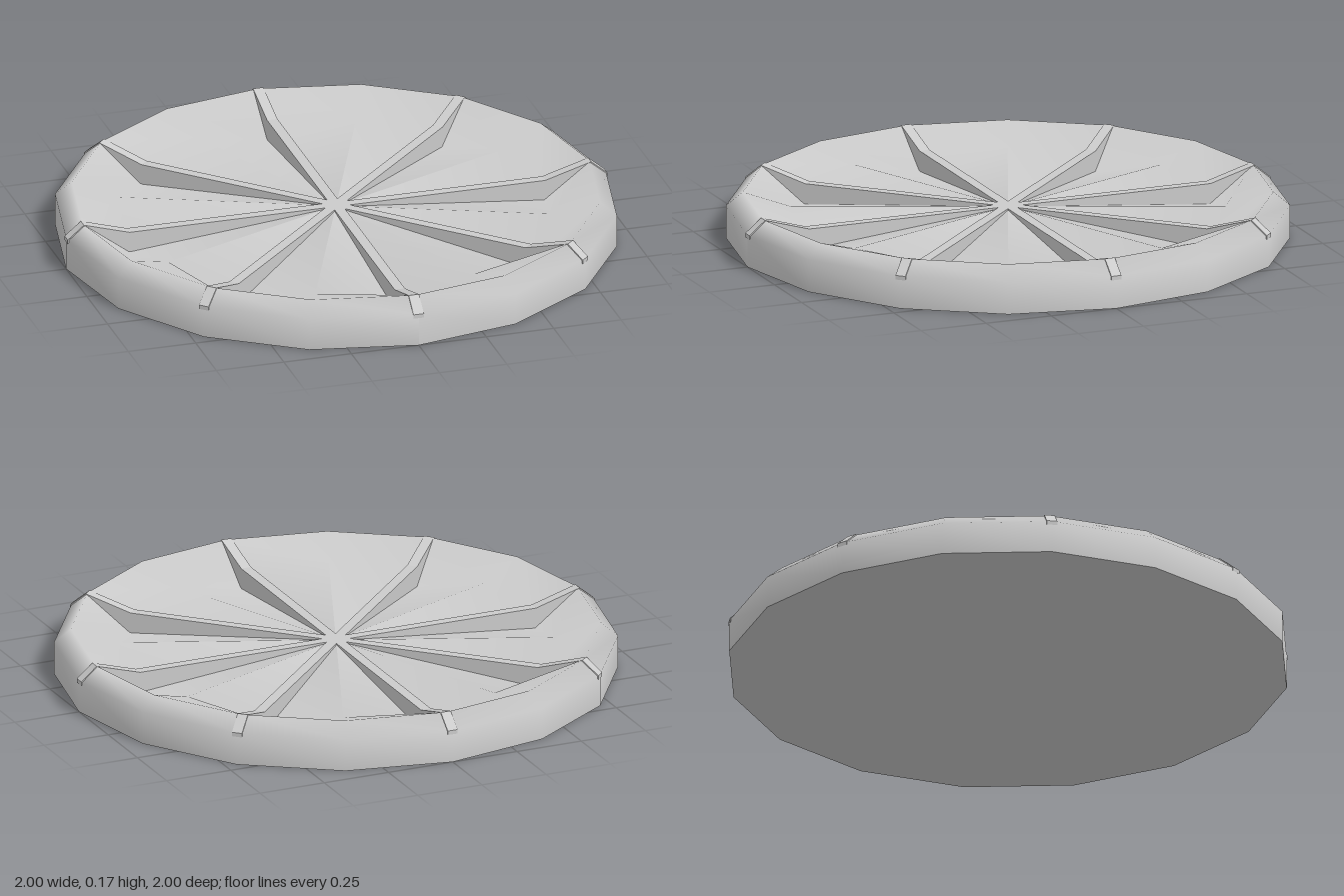
import * as THREE from 'three';

const SIDES = 16;
const RIBS = 8;
const RIB_WIDTH = 0.038;
const RIDGE = 0.115; // height of the trough ring midway between two ribs

const toPoints = (list) => list.map(([r, y]) => new THREE.Vector2(r, y));

export function createModel() {
  const model = new THREE.Group();
  model.name = 'ribbedDish';
  const material = new THREE.MeshStandardMaterial({ color: 0xcccccc });

  // Dish: flat base, upright wall, sloped crest, trough ring and floor rising to the hub.
  // The doubled point keeps the base edge sharp.
  const profile = toPoints([
    [0, 0], [1, 0], [1, 0], [1, 0.118], [0.94, 0.168], [0.77, 0.04], [0, 0.115],
  ]);
  const dishGeometry = new THREE.LatheGeometry(profile, SIDES);

  // Each sector bulges: lift its trough vertex halfway between the ribs
  const position = dishGeometry.attributes.position;
  for (let side = 1; side < SIDES; side += 2) {
    position.setY(side * profile.length + 5, RIDGE);
  }
  dishGeometry.computeVertexNormals();
  const dish = new THREE.Mesh(dishGeometry, material);
  dish.name = 'dish';
  model.add(dish);

  // Side outline of one rib, its underside just below the floor and rim
  const outline = new THREE.Shape(toPoints([
    [0, 0.105], [0.77, 0.035], [0.935, 0.155], [1, 0.105],
    [1, 0.12], [0.94, 0.17], [0.77, 0.12], [0, 0.12],
  ]));
  const ribGeometry = new THREE.ExtrudeGeometry(outline, {
    depth: RIB_WIDTH,
    bevelEnabled: false,
  });
  ribGeometry.translate(0, 0, -RIB_WIDTH / 2);

  // Ribs radiating from the centre
  const ribs = new THREE.Group();
  ribs.name = 'ribs';
  for (let i = 0; i < RIBS; i++) {
    const rib = new THREE.Mesh(ribGeometry, material);
    rib.name = `rib${i + 1}`;
    rib.rotation.y = (i / RIBS) * Math.PI * 2;
    ribs.add(rib);
  }
  model.add(ribs);

  return model;
}
